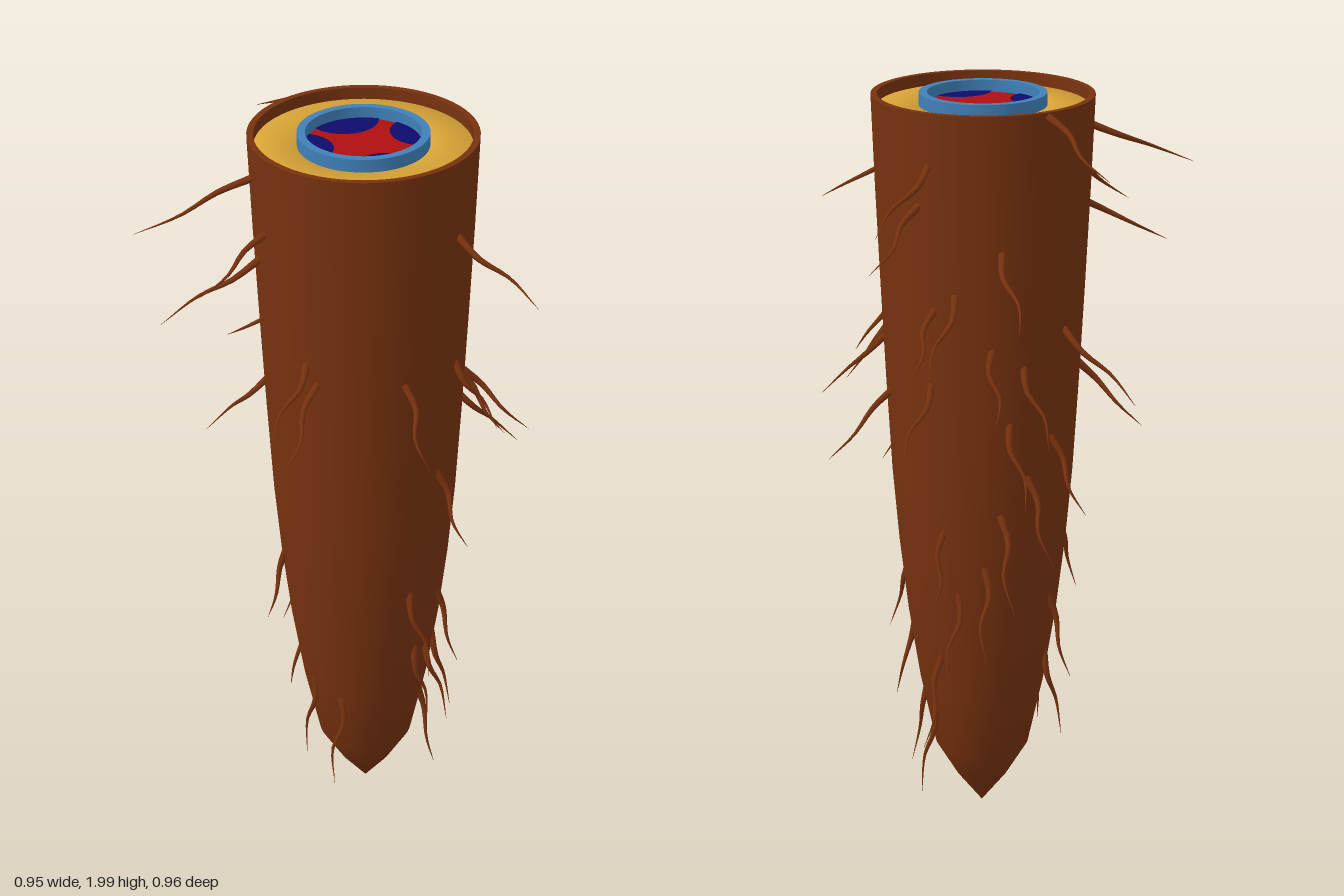
import * as THREE from 'three';
import { toCreasedNormals } from 'three/addons/utils/BufferGeometryUtils.js';

const material = (name, color, side = THREE.FrontSide) => {
  const m = new THREE.MeshStandardMaterial({ color, side });
  m.name = name;
  return m;
};

// Outer profile: radius, height
const PROFILE = [
  [0, 0.005], [0.07, 0.1], [0.127, 0.2], [0.168, 0.4], [0.198, 0.6],
  [0.22, 0.8], [0.236, 1.0], [0.249, 1.25], [0.26, 1.5], [0.27, 1.75], [0.278, 1.99],
];

// Root hairs: angle in degrees (from +x towards +z), tip distance from axis, base height
const HAIRS = [
  [210, 0.515, 1.98], [234, 0.496, 1.65], [274, 0.515, 1.86], [280, 0.46, 1.76], [260, 0.485, 1.54],
  [317, 0.415, 1.24], [339, 0.42, 1.36], [5, 0.493, 1.79], [349, 0.368, 1.38], [359, 0.372, 1.43],
  [12, 0.34, 1.13], [28, 0.308, 0.77], [39, 0.404, 1.43], [88, 0.447, 1.43], [95, 0.41, 1.48],
  [122, 0.449, 1.79], [133, 0.519, 1.7], [139, 0.56, 1.9], [160, 0.414, 1.3], [191, 0.473, 1.43],
  [199, 0.364, 1.15], [220, 0.4, 1.35], [216, 0.37, 1.05], [228, 0.385, 1.2], [233, 0.39, 0.95],
  [239, 0.37, 1.4], [243, 0.33, 0.8], [272, 0.39, 1.5], [276, 0.38, 1.3], [135, 0.27, 0.83],
  [116, 0.2, 0.44], [175, 0.23, 0.5], [185, 0.27, 0.68], [3, 0.26, 0.56], [350, 0.2, 0.36],
  [17, 0.24, 0.57], [356, 0.27, 0.72], [346, 0.24, 0.55], [85, 0.22, 0.4], [270, 0.3, 0.9],
  [262, 0.29, 0.72], [280, 0.26, 0.52], [300, 0.2, 0.35],
];

function radiusAt(y) {
  for (let i = 1; i < PROFILE.length; i++) {
    const [r0, y0] = PROFILE[i - 1], [r1, y1] = PROFILE[i];
    if (y <= y1) return r0 + ((r1 - r0) * (y - y0)) / (y1 - y0);
  }
  return PROFILE[PROFILE.length - 1][0];
}

const lathe = (points) =>
  new THREE.LatheGeometry(points.map(([r, y]) => new THREE.Vector2(r, y)), 64);

// Ring with an outer wall, a top face and an inner wall
const ring = (outer, inner, top, bottom) =>
  lathe([[outer, bottom], [outer, top], [inner, top], [inner, bottom]]);

// Wavy hair that leaves the surface, droops and tapers to a point
function hairGeometry([degrees, reach, y], index) {
  const a = THREE.MathUtils.degToRad(degrees);
  const start = radiusAt(y) - 0.008;
  const drop = 0.11 + 0.09 * (2 - y);
  const wave = (index % 2 ? 1 : -1) * 0.012;
  const at = (t, side) => {
    const r = start + (reach - start) * t;
    return new THREE.Vector3(
      r * Math.cos(a) - side * Math.sin(a), y - drop * t, r * Math.sin(a) + side * Math.cos(a));
  };
  const curve = new THREE.CatmullRomCurve3([at(0, 0), at(0.3, wave), at(0.62, -wave), at(1, wave * 0.3)]);
  const steps = 10, sides = 6;
  const geometry = new THREE.TubeGeometry(curve, steps, 0.0105, sides);
  const p = geometry.attributes.position, v = new THREE.Vector3();
  for (let i = 0; i < p.count; i++) {
    const t = Math.floor(i / (sides + 1)) / steps;
    const centre = curve.getPointAt(t);
    v.fromBufferAttribute(p, i).sub(centre).multiplyScalar(1 - 0.97 * t).add(centre);
    p.setXYZ(i, v.x, v.y, v.z);
  }
  return geometry;
}

// Rounded lobe lying flat, cut off by the inside of the blue ring
function lobeGeometry(cx, cz, radius, limit) {
  const points = [];
  for (let i = 0; i < 64; i++) {
    const t = (i / 64) * Math.PI * 2;
    points.push(new THREE.Vector2(cx + radius * Math.cos(t), -cz - radius * Math.sin(t)).clampLength(0, limit));
  }
  return new THREE.ShapeGeometry(new THREE.Shape(points)).rotateX(-Math.PI / 2);
}

export function createModel() {
  const brown = material('bark brown', 0x78320f);
  const yellow = material('cortex yellow', 0xdaa537);
  const blue = material('ring blue', 0x4080b8);
  const red = material('core red', 0xb01010);
  const navy = material('lobe navy', 0x0c0c6c, THREE.DoubleSide);

  const model = new THREE.Group();
  model.name = 'root';
  const add = (name, geometry, mat, parent = model) => {
    const mesh = new THREE.Mesh(geometry, mat);
    mesh.name = name;
    parent.add(mesh);
    return mesh;
  };

  // Outer skin and its rim
  add('outerSkin', lathe(PROFILE), brown);
  add('skinRim', toCreasedNormals(lathe([[0.278, 1.99], [0.262, 1.99], [0.262, 1.93]]), 0.6), brown);

  // Layers of the cut top
  add('cortex', ring(0.263, 0.15, 1.96, 1.9), yellow);
  add('innerRing', toCreasedNormals(ring(0.159, 0.139, 1.992, 1.93), 0.6), blue);
  add('core', new THREE.CircleGeometry(0.145, 48).rotateX(-Math.PI / 2), red).position.y = 1.962;

  // Four lobes leave a red cross between them
  const lobes = new THREE.Group();
  lobes.name = 'lobes';
  lobes.position.y = 1.965;
  for (const [x, z] of [[-0.103, -0.09], [0.101, -0.124], [0.119, 0.103], [-0.119, 0.106]]) {
    add('lobe', lobeGeometry(x, z, 0.085, 0.143), navy, lobes);
  }
  model.add(lobes);

  // Root hairs
  const hairs = new THREE.Group();
  hairs.name = 'rootHairs';
  HAIRS.forEach((hair, i) => add('rootHair', hairGeometry(hair, i), brown, hairs));
  model.add(hairs);

  // The hairs put the root slightly off centre
  model.position.set(-0.015, 0, 0.032);
  const group = new THREE.Group();
  group.name = 'rootModel';
  group.add(model);
  return group;
}
